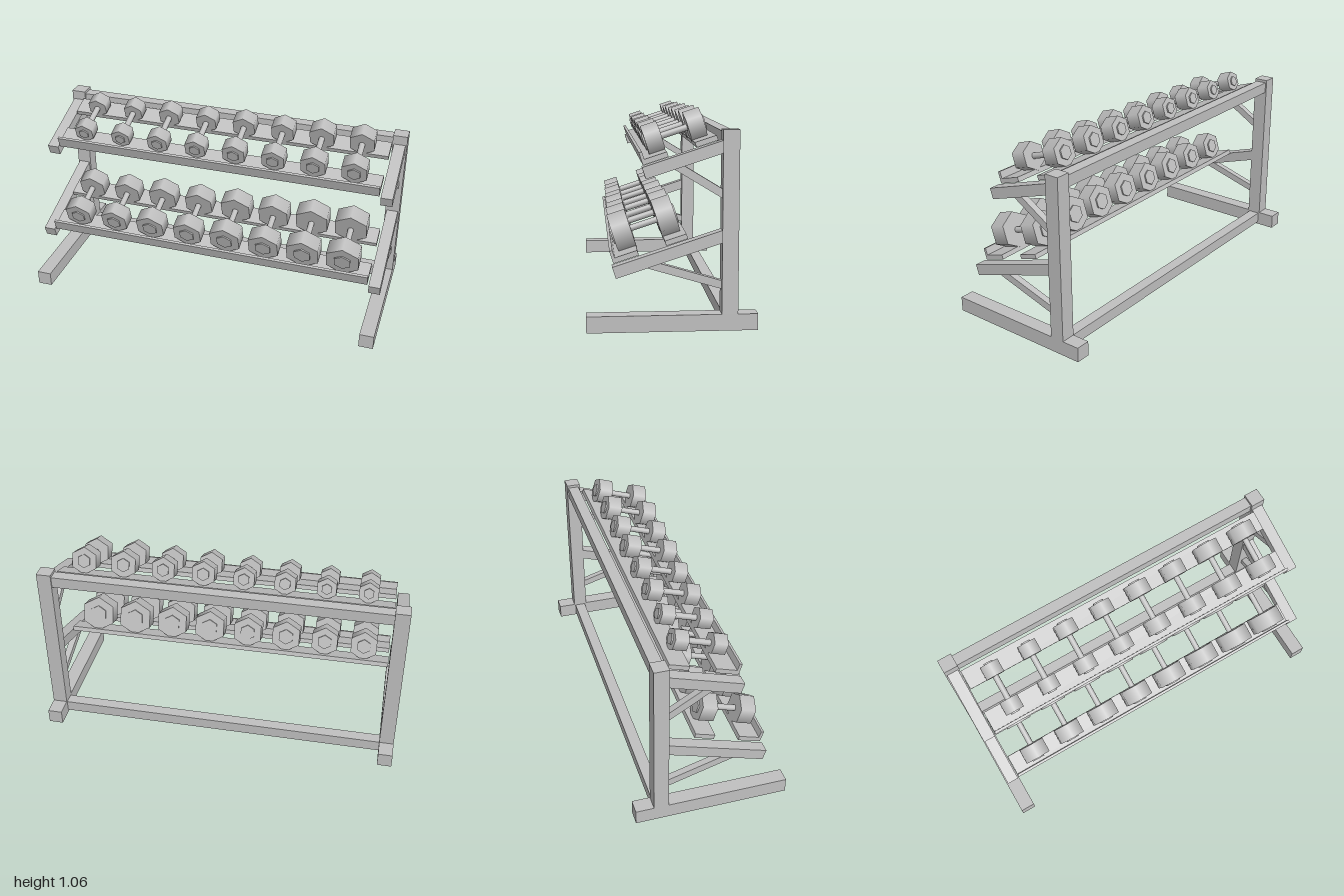
import * as THREE from 'three';

const TILT = THREE.MathUtils.degToRad(18);

export function createModel() {
  const steel = new THREE.MeshStandardMaterial({ color: 0xc0c0c0 });
  steel.name = 'grey steel';
  const model = new THREE.Group();
  model.name = 'dumbbellRack';

  const add = (parent, name, geometry, x, y, z) => {
    const mesh = new THREE.Mesh(geometry, steel);
    mesh.name = name;
    mesh.position.set(x, y, z);
    parent.add(mesh);
    return mesh;
  };
  // Box given by its limits on y and z
  const slab = (parent, name, x, width, y0, y1, z0, z1) =>
    add(parent, name, new THREE.BoxGeometry(width, y1 - y0, z1 - z0), x, (y0 + y1) / 2, (z0 + z1) / 2);

  // Diagonal strut between two [y, z] points, run on a little into its neighbours
  const brace = (name, x, [y0, z0], [y1, z1]) => {
    const length = Math.hypot(y1 - y0, z1 - z0) + 0.05;
    const strut = add(model, name, new THREE.BoxGeometry(0.037, 0.039, length), x, (y0 + y1) / 2, (z0 + z1) / 2);
    strut.rotation.x = -Math.atan2(y1 - y0, z1 - z0);
  };

  // Side frames
  for (const [side, s] of [['left', 1], ['right', -1]]) {
    slab(model, side + 'Foot', s * 0.96, 0.08, 0, 0.081, -0.413, 0.413);
    slab(model, side + 'Post', s * 0.96, 0.08, 0.081, 0.968, -0.316, -0.237);
    brace(side + 'UpperBrace', s * 0.962, [0.789, -0.031], [0.664, -0.236]);
    brace(side + 'LowerBrace', s * 0.962, [0.322, 0.1], [0.222, -0.236]);
  }

  // Rear crossbars
  slab(model, 'bottomCrossbar', 0, 1.84, 0.013, 0.075, -0.309, -0.247);
  slab(model, 'topCrossbar', 0, 1.84, 0.891, 0.953, -0.309, -0.247);

  // Hexagonal dumbbell lying along z, centred on its handle
  const makeDumbbell = (size) => {
    const dumbbell = new THREE.Group();
    dumbbell.name = 'dumbbell';
    const radius = 0.059 + 0.006 * size;
    const headLength = 0.075 + 0.0025 * size;
    const halfGrip = 0.0675;
    const bar = (name, r, length, sides, z) => {
      const geometry = new THREE.CylinderGeometry(r, r, length, sides).rotateX(Math.PI / 2);
      add(dumbbell, name, geometry, 0, 0, z);
    };
    bar('handle', 0.0165, halfGrip * 2 + 0.01, 12, 0);
    for (const s of [1, -1]) {
      bar('head', radius, headLength, 6, s * (halfGrip + headLength / 2));
      bar('endCap', radius * 0.5, 0.016, 6, s * (halfGrip + headLength));
    }
    dumbbell.userData.restHeight = radius * Math.cos(Math.PI / 6);
    return dumbbell;
  };

  // Tilted tier: origin at the top front edge of its arms, running back along -z
  const addTier = (name, y, z, armLength, firstSize) => {
    const tier = new THREE.Group();
    tier.name = name;
    tier.position.set(0, y, z);
    tier.rotation.x = TILT;
    model.add(tier);

    for (const s of [1, -1]) slab(tier, 'arm', s * 0.96, 0.064, -0.058, 0, -armLength, 0);
    slab(tier, 'frontLip', 0, 1.84, 0, 0.063, -0.024, -0.009);
    slab(tier, 'frontShelf', 0, 1.84, 0, 0.025, -0.138, -0.024);
    slab(tier, 'rearShelf', 0, 1.84, 0, 0.025, -0.388, -0.278);

    // Dumbbells grow in pairs from right to left
    for (let i = 0; i < 8; i++) {
      const dumbbell = makeDumbbell(firstSize + Math.floor(i / 2));
      dumbbell.position.set(-0.775 + i * 0.2214, 0.025 + dumbbell.userData.restHeight, -0.2075);
      tier.add(dumbbell);
    }
  };
  addTier('upperTier', 0.792, 0.145, 0.43, 0);
  addTier('lowerTier', 0.317, 0.288, 0.58, 4);

  return model;
}
